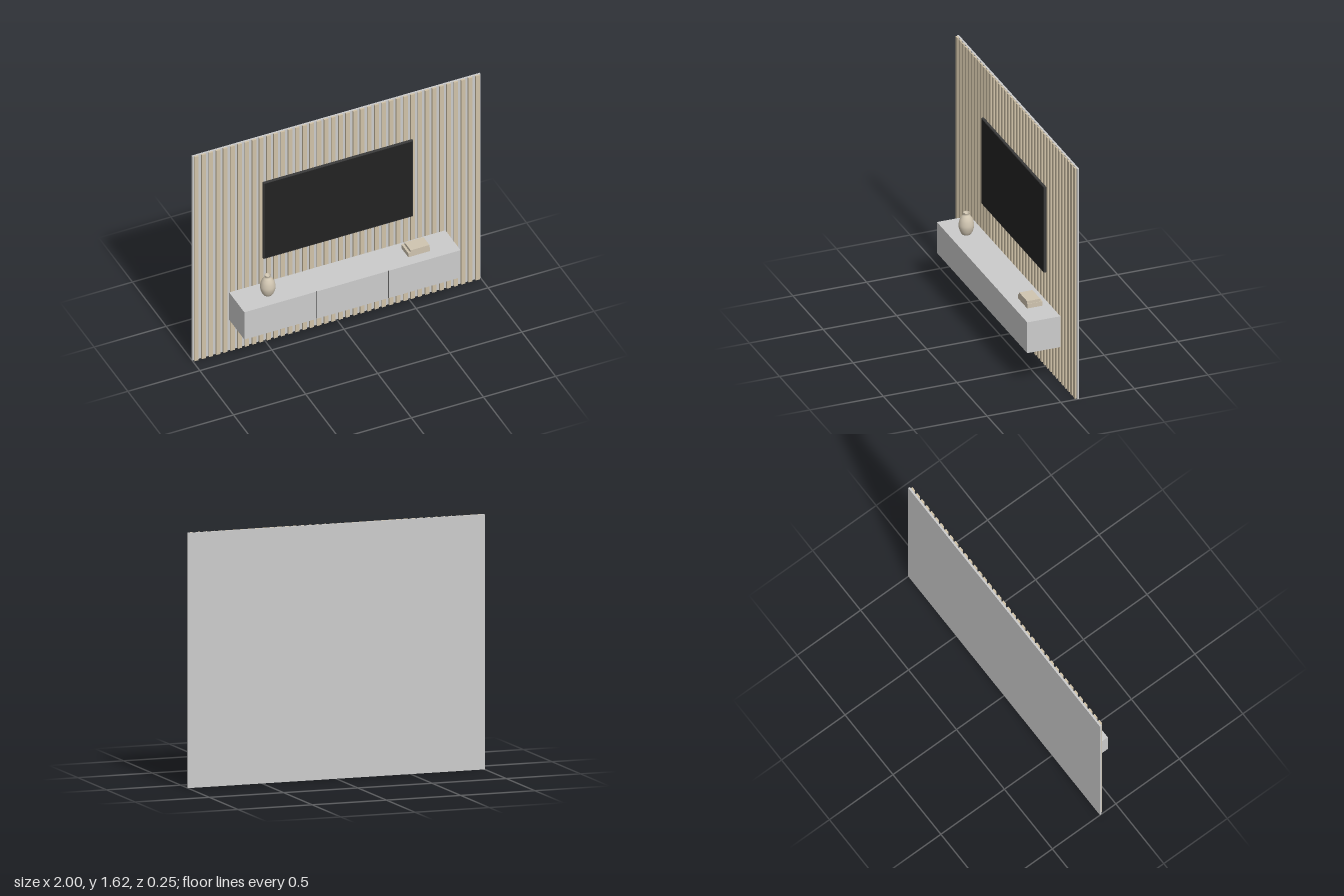
import * as THREE from 'three';
import { RoundedBoxGeometry } from 'three/addons/geometries/RoundedBoxGeometry.js';

const mat = (color) => new THREE.MeshStandardMaterial({ color });

export function createModel() {
  const group = new THREE.Group();
  const grey = mat(0xcccccc);
  const wood = mat(0xd0c2a8);
  const dark = mat(0x222222);
  const casing = mat(0x3a3a3a);
  const clay = mat(0xcfc4b0);

  const add = (name, geometry, material) => {
    const mesh = new THREE.Mesh(geometry, material);
    mesh.name = name;
    group.add(mesh);
    return mesh;
  };
  // Box given by its minimum and maximum corners
  const box = (name, material, [x0, y0, z0], [x1, y1, z1]) => {
    const mesh = add(name, new THREE.BoxGeometry(x1 - x0, y1 - y0, z1 - z0), material);
    mesh.position.set((x0 + x1) / 2, (y0 + y1) / 2, (z0 + z1) / 2);
    return mesh;
  };

  // Wall panel with vertical wooden slats
  const height = 1.625;
  box('wallPanel', grey, [-1, 0, -0.125], [1, height, -0.1125]);
  const slatCount = 40, pitch = 2 / slatCount, slatWidth = 0.028;
  for (let i = 0; i < slatCount; i++) {
    const x = -1 + pitch * (i + 0.5);
    box('slat', wood, [x - slatWidth / 2, 0, -0.1125], [x + slatWidth / 2, height, -0.1]);
  }

  // Wall-mounted television: casing with softened edges, screen just proud of it
  const tv = add('televisionCasing', new RoundedBoxGeometry(1.04, 0.605, 0.018, 2, 0.004), casing);
  tv.position.set(0, 0.9725, -0.091);
  box('televisionScreen', dark, [-0.513, 0.677, -0.084], [0.513, 1.268, -0.0812]);

  // Floating cabinet with three flush doors
  box('cabinetBody', grey, [-0.75, 0.253, -0.1], [0.75, 0.47, 0.12]);
  const gap = 0.004;
  for (let i = 0; i < 3; i++) {
    const x = -0.75 + i * 0.5;
    box('cabinetDoor', grey,
      [x + (i > 0 ? gap / 2 : 0), 0.253, 0.12],
      [x + 0.5 - (i < 2 ? gap / 2 : 0), 0.47, 0.125]);
  }
  // Dark reveals between the doors
  for (const x of [-0.25, 0.25]) {
    box('doorReveal', dark, [x - gap / 2, 0.253, 0.12], [x + gap / 2, 0.469, 0.121]);
  }

  // Vase: smooth turned body with a narrow neck and small lip
  const body = new THREE.SplineCurve([
    [0.03, 0], [0.04, 0.018], [0.048, 0.045], [0.049, 0.068],
    [0.042, 0.098], [0.03, 0.12], [0.02, 0.131], [0.018, 0.138], [0.021, 0.149],
  ].map(([r, y]) => new THREE.Vector2(r, y))).getPoints(32);
  const profile = [new THREE.Vector2(0, 0), ...body,
    new THREE.Vector2(0.017, 0.149), new THREE.Vector2(0.015, 0.135), new THREE.Vector2(0, 0.133)];
  const vase = add('vase', new THREE.LatheGeometry(profile, 32), clay);
  vase.position.set(-0.535, 0.47, 0.013);

  // Two stacked books
  box('lowerBook', clay, [0.422, 0.47, -0.052], [0.572, 0.501, 0.052]);
  box('upperBook', clay, [0.438, 0.501, -0.038], [0.569, 0.52, 0.052]);

  return group;
}
